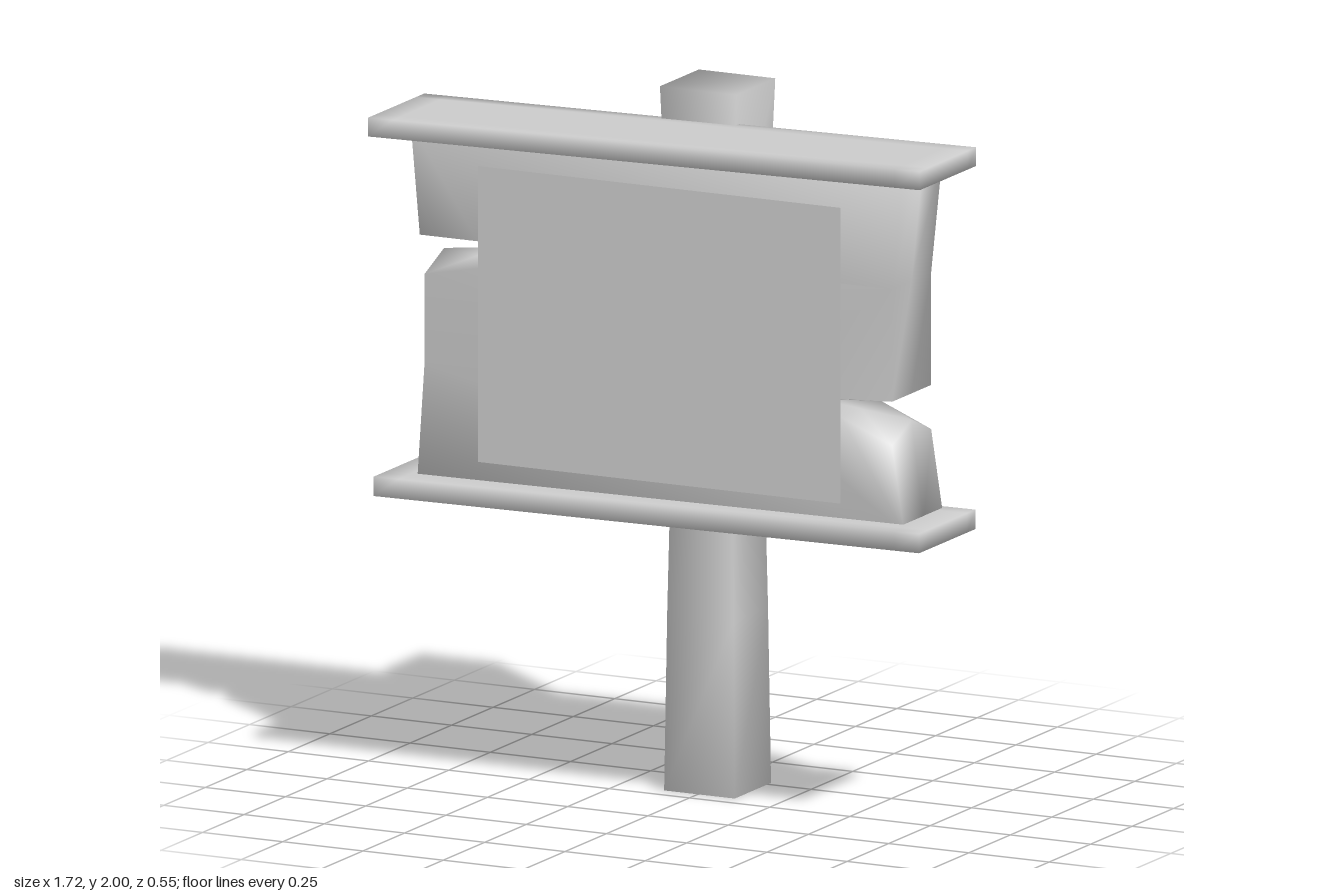
import * as THREE from 'three';
import { mergeVertices } from 'three/addons/utils/BufferGeometryUtils.js';

const material = new THREE.MeshStandardMaterial({ color: 0xcccccc });

// Weld corners, move the vertices by a rule, then smooth the normals
function soften(geometry, rule) {
  geometry.deleteAttribute('normal');
  geometry.deleteAttribute('uv');
  const welded = mergeVertices(geometry, 1e-4);
  const pos = welded.attributes.position;
  const v = new THREE.Vector3();
  for (let i = 0; i < pos.count; i++) {
    rule(v.fromBufferAttribute(pos, i));
    pos.setXYZ(i, v.x, v.y, v.z);
  }
  welded.computeVertexNormals();
  return welded;
}

function addMesh(group, name, geometry) {
  const mesh = new THREE.Mesh(geometry, material);
  mesh.name = name;
  group.add(mesh);
  return mesh;
}

// Square post with a waist
function postGeometry() {
  return soften(new THREE.BoxGeometry(1, 2, 1, 1, 4, 1), (v) => {
    const y = v.y + 1;
    const t = y < 1.2 ? 1 - y / 1.2 : (y - 1.2) / 0.8;
    const flare = t * t * (3 - 2 * t);
    const grow = y < 1.2 ? 0.017 : 0.026;
    v.set(
      Math.sign(v.x) * (0.093 + grow * flare) + 0.005,
      y,
      Math.sign(v.z) * (0.094 + grow * 0.9 * flare) - 0.16
    );
  });
}

// Slightly tilted rail whose inner grid lines sit close to the rim
function railGeometry(left, right, y, thickness, rise) {
  return soften(new THREE.BoxGeometry(2, thickness, 2, 3, 1, 3), (v) => {
    const inset = (t, margin) => (Math.abs(t) > 0.9 ? t : Math.sign(t) * (1 - margin));
    const x = inset(v.x, 0.09), z = inset(v.z, 0.3);
    v.x = (left + right) / 2 + x * (right - left) / 2;
    v.y += y + x * rise;
    v.z = 0.105 + z * 0.17;
  });
}

// Thick board with a split running in from each end
function boardGeometry() {
  const outline = [
    [-0.75, 0.86], [0.768, 0.87], [0.73, 1.165], [0.57, 1.18], [0.25, 1.215],
    [0.57, 1.23], [0.73, 1.24], [0.73, 1.56], [0.765, 1.89],
    [-0.77, 1.87], [-0.742, 1.56], [-0.56, 1.56], [-0.22, 1.55],
    [-0.56, 1.52], [-0.727, 1.5], [-0.727, 1.2],
  ].map(([x, y]) => new THREE.Vector2(x, y));
  const geometry = new THREE.ExtrudeGeometry(new THREE.Shape(outline), {
    depth: 0.235, steps: 2, bevelEnabled: false,
  });
  return soften(geometry, (v) => {
    // The outer lower lips are worn down at their front and back corners
    const lip = Math.abs(v.x) > 0.7 && (Math.abs(v.y - 1.165) < 0.01 || Math.abs(v.y - 1.5) < 0.01);
    if (lip && Math.abs(v.z - 0.1175) > 0.05) v.y -= 0.05;
    v.z -= 0.045;
  });
}

export function createModel() {
  const group = new THREE.Group();
  group.name = 'signpost';

  addMesh(group, 'post', postGeometry());
  addMesh(group, 'board', boardGeometry());
  addMesh(group, 'topRail', railGeometry(-0.86, 0.86, 1.884, 0.053, 0.014));
  addMesh(group, 'bottomRail', railGeometry(-0.842, 0.858, 0.86, 0.055, 0.008));

  // Flat notice on the front of the board
  const notice = addMesh(group, 'notice', new THREE.PlaneGeometry(1.13, 0.84));
  notice.material = new THREE.MeshStandardMaterial({ color: 0xcccccc, side: THREE.DoubleSide });
  notice.position.set(0.007, 1.355, 0.195);

  return group;
}
